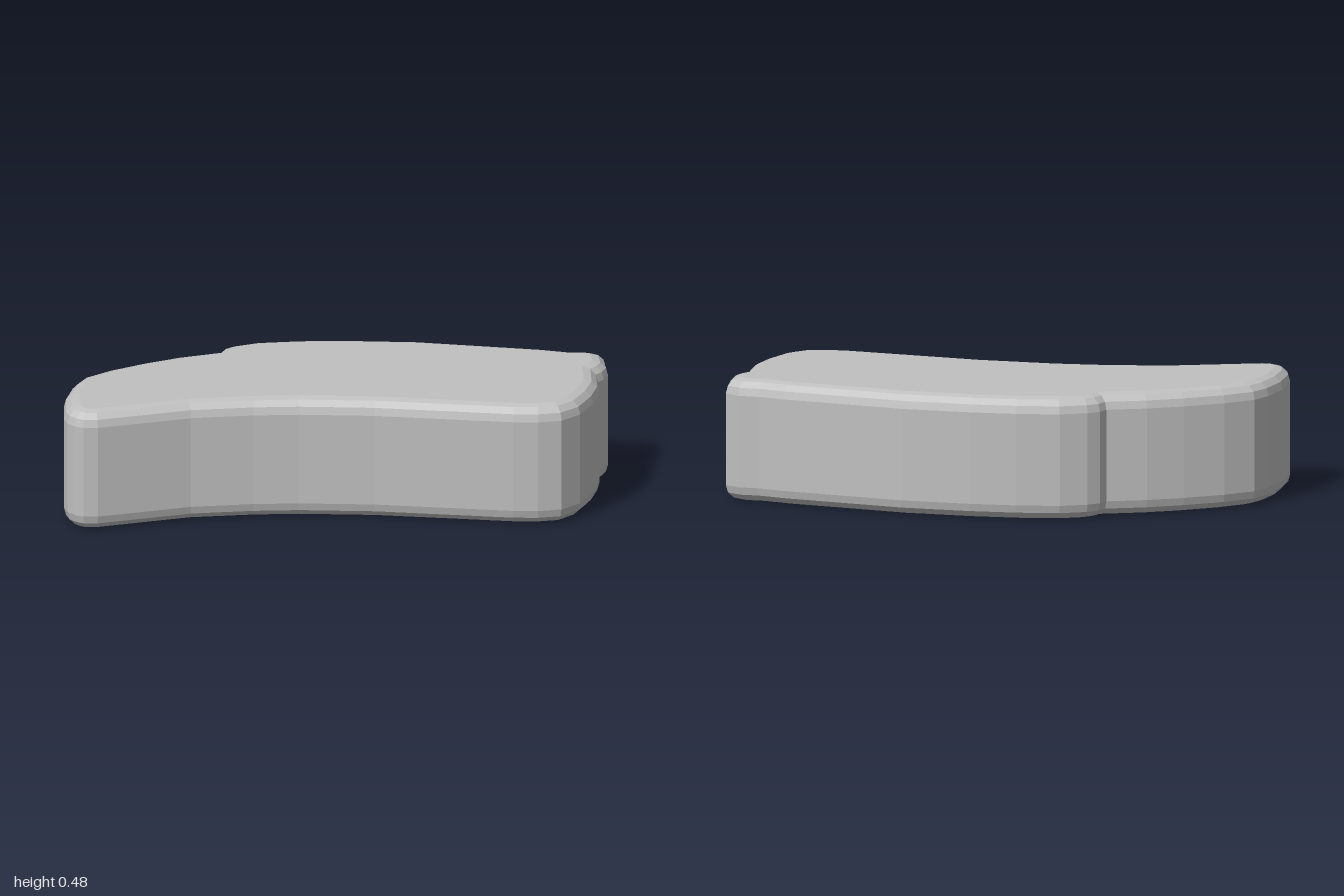
import * as THREE from 'three';

export function createModel() {
  const group = new THREE.Group();
  const grey = new THREE.MeshStandardMaterial({ color: 0xc0c0c0 });
  grey.name = 'grey';

  const height = 0.48, bevel = 0.06;

  // Plan outline of the curved slab, as [x, z]
  const outline = [
    // back edge, from the notch to the back corner
    [-0.53, -0.3], [-0.522, -0.345], [-0.49, -0.39], [-0.4, -0.455], [-0.24, -0.51],
    [-0.06, -0.55], [0.21, -0.586], [0.7, -0.586], [0.81, -0.575], [0.89, -0.586],
    // wide end with its shallow notch
    [0.955, -0.558], [0.987, -0.45], [0.98, -0.395], [0.965, -0.36], [0.998, -0.22],
    [0.998, -0.09], [0.975, 0.05], [0.92, 0.14], [0.835, 0.178], [0.74, 0.195],
    // front edge
    [0.2, 0.22], [-0.09, 0.262], [-0.26, 0.305], [-0.49, 0.385],
    // narrow tip
    [-0.82, 0.575], [-0.875, 0.585], [-0.91, 0.573], [-0.945, 0.543], [-0.97, 0.49],
    [-1, 0.34], [-1, 0.2], [-0.98, 0.11],
    // back edge of the tip
    [-0.9, 0], [-0.78, -0.12], [-0.665, -0.215],
  ];

  // Extruded slab with rounded top and bottom rims kept inside the outline
  const shape = new THREE.Shape(outline.map(([x, z]) => new THREE.Vector2(x, z)));
  const geometry = new THREE.ExtrudeGeometry(shape, {
    depth: height - 2 * bevel,
    bevelEnabled: true,
    bevelThickness: bevel,
    bevelSize: bevel,
    bevelOffset: -bevel,
    bevelSegments: 3,
  });
  geometry.rotateX(Math.PI / 2);
  geometry.translate(0, height - bevel, 0);

  const slab = new THREE.Mesh(geometry, grey);
  slab.name = 'curvedSlab';
  group.add(slab);
  return group;
}
